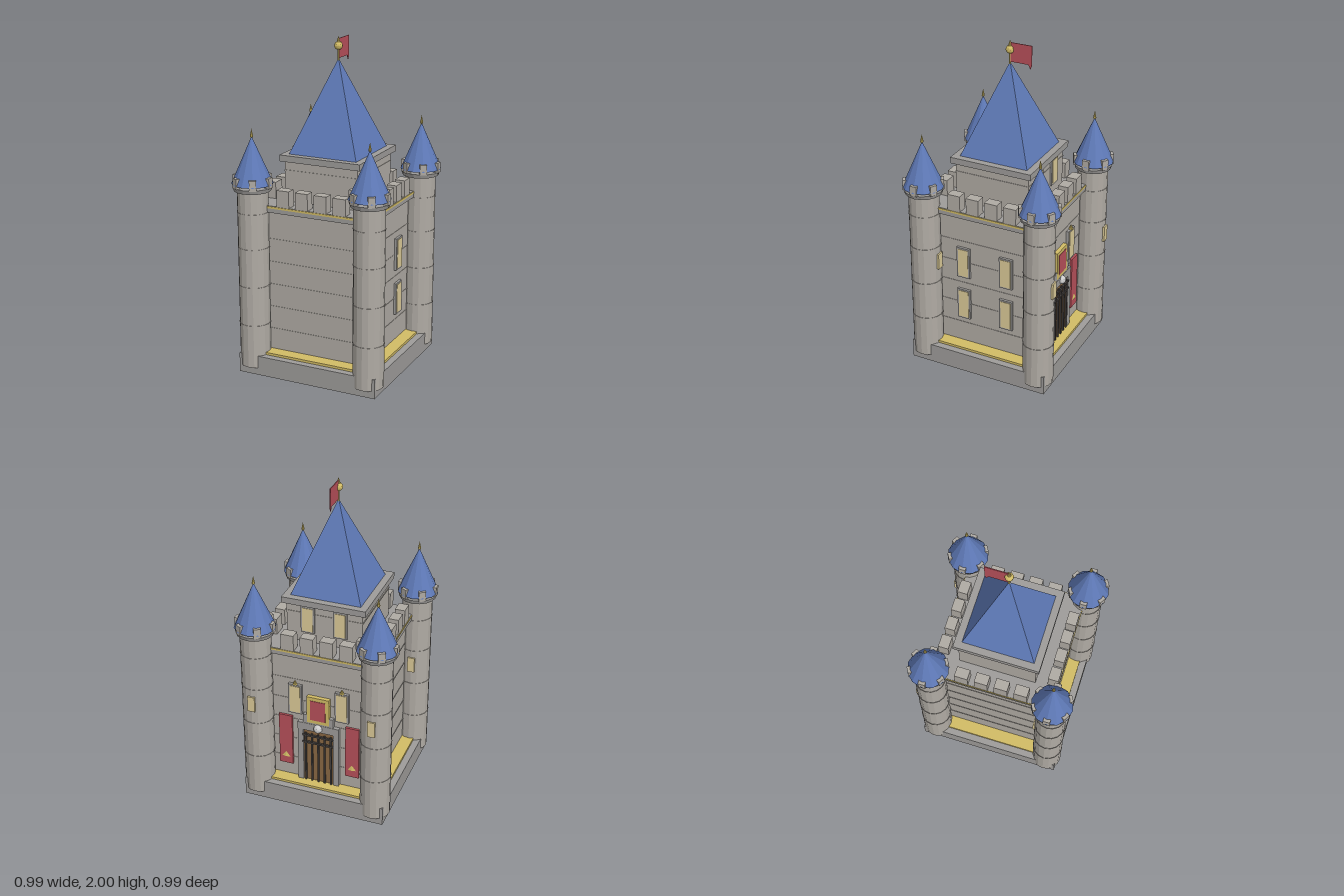
import * as THREE from 'three';

const mat = (color, extra = {}) => new THREE.MeshStandardMaterial({ color, flatShading: true, ...extra });
const STONE = mat(0xb0aba4), TRIM = mat(0x9e9c9a), ROOF = mat(0x5f7ab8), GOLD = mat(0xd2bc66);
const PANE = mat(0xdccb98), RED = mat(0xb8505a, { side: THREE.DoubleSide }), WOOD = mat(0x8a6844), IRON = mat(0x45413f);

function add(parent, name, geometry, material, x = 0, y = 0, z = 0) {
  const mesh = new THREE.Mesh(geometry, material);
  mesh.name = name;
  mesh.position.set(x, y, z);
  parent.add(mesh);
  return mesh;
}
// Box placed by its bottom height
const box = (parent, name, material, w, h, d, x, y0, z) =>
  add(parent, name, new THREE.BoxGeometry(w, h, d), material, x, y0 + h / 2, z);
// Cylinder or cone placed by its bottom height
const drum = (parent, name, material, rTop, rBottom, h, sides, y0, x = 0, z = 0) =>
  add(parent, name, new THREE.CylinderGeometry(rTop, rBottom, h, sides), material, x, y0 + h / 2, z);

// Framed window facing -z
function windowUnit(parent, name, w, h, x, y0, z) {
  const g = new THREE.Group();
  g.name = name;
  g.position.set(x, y0, z);
  box(g, 'windowFrame', TRIM, w, h, 0.02, 0, 0, 0);
  box(g, 'windowPane', PANE, w - 0.02, h - 0.02, 0.026, 0, 0.01, 0);
  parent.add(g);
  return g;
}

function cornerTower(x, z) {
  const g = new THREE.Group();
  g.name = 'cornerTower';
  g.position.set(x, 0, z);
  drum(g, 'towerShaft', STONE, 0.092, 0.092, 1.085, 16, 0.045);
  for (const y of [0.31, 0.55, 0.785, 1.0]) drum(g, 'towerCourse', STONE, 0.0945, 0.0945, 0.006, 16, y - 0.003);
  drum(g, 'towerCap', TRIM, 0.118, 0.11, 0.025, 16, 1.13);
  // Merlons carry the cone roof
  for (let i = 0; i < 6; i++) {
    const a = i * Math.PI / 3;
    const m = box(g, 'towerMerlon', STONE, 0.03, 0.062, 0.042, 0.105 * Math.cos(a), 1.152, 0.105 * Math.sin(a));
    m.rotation.y = -a;
  }
  drum(g, 'towerRoof', ROOF, 0, 0.123, 0.28, 12, 1.17);
  drum(g, 'towerFinial', GOLD, 0, 0.01, 0.045, 8, 1.45);
  add(g, 'towerFinialBall', new THREE.SphereGeometry(0.009, 8, 6), GOLD, 0, 1.45, 0);
  box(g, 'towerSlitWindow', PANE, 0.045, 0.1, 0.018, 0, 0.64, -0.091);
  return g;
}

function gateFront() {
  const g = new THREE.Group();
  g.name = 'gateFront';
  g.position.z = -0.325;
  // Stepped stone surround
  for (const s of [-1, 1]) box(g, 'gateJamb', TRIM, 0.035, 0.42, 0.03, s * 0.112, 0.13, -0.01);
  box(g, 'gateLintel', TRIM, 0.26, 0.05, 0.03, 0, 0.5, -0.01);
  box(g, 'gateHead', TRIM, 0.19, 0.06, 0.026, 0, 0.55, -0.01);
  // Door with iron bars
  box(g, 'door', WOOD, 0.19, 0.37, 0.016, 0, 0.13, -0.006);
  for (let i = -2; i <= 2; i++) box(g, 'gateBar', IRON, 0.01, 0.35, 0.01, i * 0.04, 0.13, -0.022);
  for (const y of [0.41, 0.46]) box(g, 'gateCrossbar', IRON, 0.2, 0.012, 0.012, 0, y, -0.024);
  add(g, 'keystoneBall', new THREE.SphereGeometry(0.028, 12, 8), mat(0xcccccc), 0, 0.525, -0.022);
  // Framed panel above the door
  box(g, 'panelFrame', GOLD, 0.14, 0.18, 0.03, 0, 0.56, -0.01);
  box(g, 'panel', RED, 0.095, 0.135, 0.036, 0, 0.582, -0.01);
  for (const s of [-1, 1]) {
    windowUnit(g, 'gateWindow', 0.085, 0.2, s * 0.147, 0.6, -0.008);
    drum(g, 'windowFinial', GOLD, 0, 0.014, 0.03, 8, 0.8, s * 0.147, -0.012);
    box(g, 'banner', RED, 0.085, 0.35, 0.014, s * 0.212, 0.22, -0.008);
    const tri = drum(g, 'bannerPoint', GOLD, 0, 0.03, 0.04, 4, 0.27, s * 0.212, -0.014);
    tri.scale.z = 0.25;
  }
  return g;
}

export function createModel() {
  const model = new THREE.Group();
  model.name = 'castle';

  // Plinth and main block
  box(model, 'plinth', TRIM, 0.89, 0.12, 0.89, 0, 0, 0);
  box(model, 'baseTrim', GOLD, 0.806, 0.015, 0.806, 0, 0.12, 0);
  box(model, 'mainWalls', STONE, 0.65, 0.87, 0.65, 0, 0.135, 0);
  for (let i = 0; i < 5; i++) box(model, 'stoneCourse', STONE, 0.655, 0.006, 0.655, 0, 0.262 + i * 0.141, 0);
  box(model, 'cornice', TRIM, 0.73, 0.028, 0.73, 0, 1.003, 0);
  box(model, 'corniceTrim', GOLD, 0.736, 0.012, 0.736, 0, 1.029, 0);
  box(model, 'terrace', TRIM, 0.728, 0.006, 0.728, 0, 1.038, 0);

  // Battlements, one row per side
  for (let side = 0; side < 4; side++) {
    const row = new THREE.Group();
    row.name = 'battlement';
    row.rotation.y = side * Math.PI / 2;
    for (const x of [-0.18, -0.06, 0.06, 0.18]) box(row, 'merlon', STONE, 0.08, 0.102, 0.062, x, 1.042, 0.335);
    model.add(row);
  }

  // Corner towers
  for (const x of [-0.373, 0.373]) for (const z of [-0.373, 0.373]) model.add(cornerTower(x, z));

  // Windows on the +x wall
  for (const z of [-0.14, 0.14]) for (const y of [0.305, 0.59]) {
    windowUnit(model, 'sideWindow', 0.085, 0.2, 0.33, y, z).rotation.y = -Math.PI / 2;
  }
  model.add(gateFront());

  // Keep
  box(model, 'keepWalls', STONE, 0.466, 0.25, 0.466, 0, 1.04, 0);
  box(model, 'keepCourse', STONE, 0.472, 0.008, 0.472, 0, 1.226, 0);
  box(model, 'keepCornice', TRIM, 0.514, 0.038, 0.514, 0, 1.287, 0);
  for (const x of [-0.1, 0.1]) windowUnit(model, 'keepWindow', 0.085, 0.17, x, 1.11, -0.234);
  const roof = drum(model, 'keepRoof', ROOF, 0, 0.215 * Math.SQRT2, 0.545, 4, 1.325);
  roof.rotation.y = Math.PI / 4;

  // Flagpole, finial and flag
  drum(model, 'flagpole', GOLD, 0.006, 0.006, 0.12, 8, 1.85);
  add(model, 'finialBall', new THREE.SphereGeometry(0.025, 12, 8), GOLD, 0, 1.943, 0);
  drum(model, 'finialSpike', GOLD, 0, 0.012, 0.037, 8, 1.963);
  const flagShape = new THREE.Shape([[0, 1.985], [0.137, 1.985], [0.137, 1.87], [0.128, 1.845], [0.115, 1.87], [0, 1.87]]
    .map(([u, v]) => new THREE.Vector2(u, v)));
  const flag = add(model, 'flag', new THREE.ExtrudeGeometry(flagShape, { depth: 0.005, bevelEnabled: false }), RED, -0.0025, 0, 0);
  flag.rotation.y = Math.PI / 2;
  return model;
}
